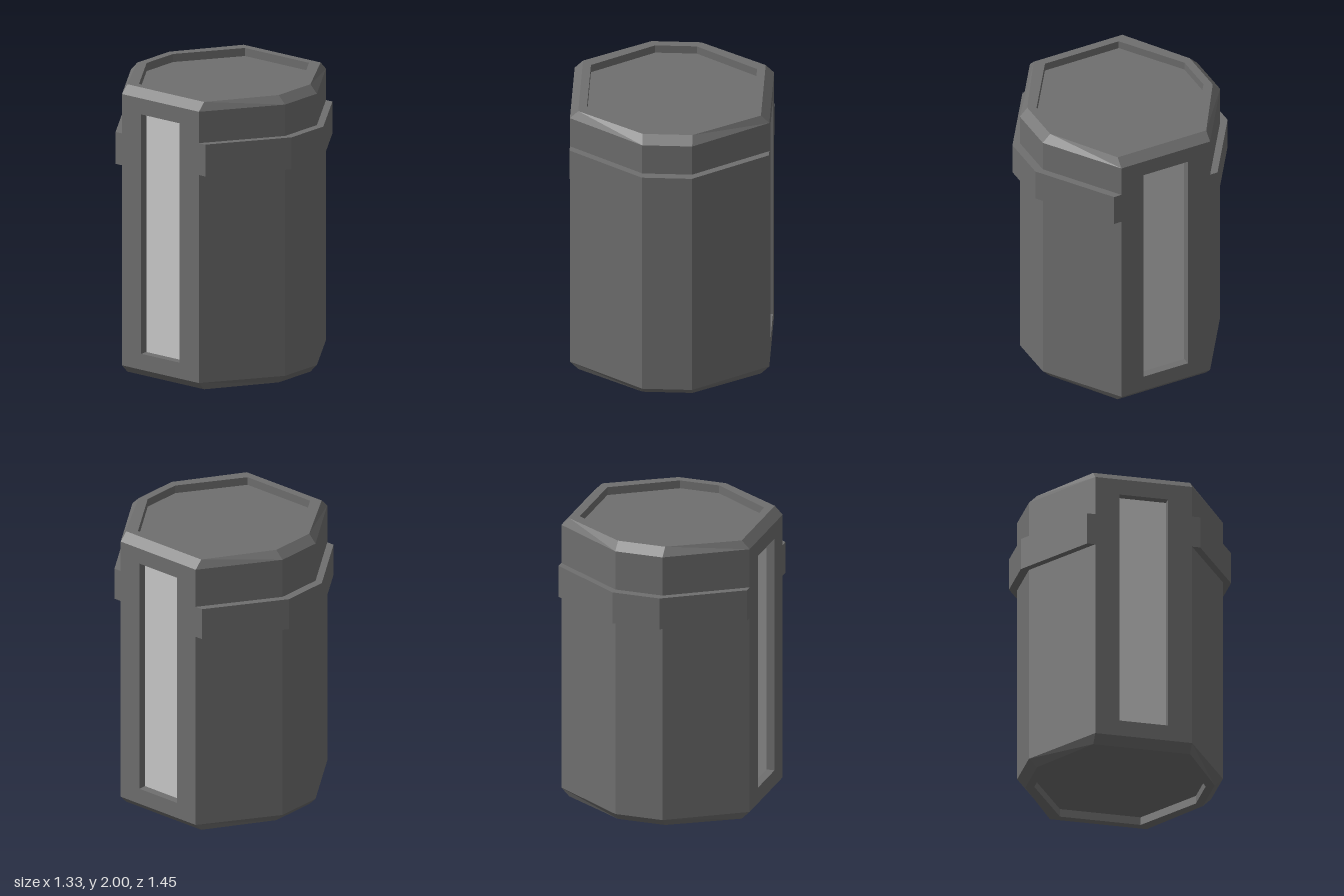
import * as THREE from 'three';

const BEVEL = 0.056;
const BOTTOM = BEVEL, TOP = 2 - BEVEL;

// Octagon corners [x, z], running from +x towards +z
const OUTER = [
  [0.667, -0.333], [0.667, 0.333], [0.167, 0.667], [-0.167, 0.667],
  [-0.667, 0.333], [-0.667, -0.333], [-0.167, -0.667], [0.167, -0.667],
];
const scaled = (s) => OUTER.map(([x, z]) => [x * s, z * s]);
const pull = (v) => (Math.abs(v) > 0.6 ? v - Math.sign(v) * BEVEL : v);
const RIM = OUTER.map(([x, z]) => [pull(x), pull(z)]);
const INNER = scaled(0.833);
const CENTRE = scaled(0);

const grey = (color) => new THREE.MeshStandardMaterial({ color, flatShading: true });

function addMesh(parent, name, geometry, material) {
  const mesh = new THREE.Mesh(geometry, material);
  mesh.name = name;
  parent.add(mesh);
  return mesh;
}

// Skin over stacked octagon rings; skip(ring, side) leaves a face open
function loft(rings, skip) {
  const pos = [];
  for (let r = 0; r < rings.length - 1; r++) {
    const [lo, y0] = rings[r], [hi, y1] = rings[r + 1];
    for (let i = 0; i < 8; i++) {
      if (skip(r, i)) continue;
      const j = (i + 1) % 8;
      const a = [lo[i][0], y0, lo[i][1]], b = [lo[j][0], y0, lo[j][1]];
      const c = [hi[j][0], y1, hi[j][1]], d = [hi[i][0], y1, hi[i][1]];
      if (hi !== CENTRE) pos.push(...a, ...d, ...c);
      if (lo !== CENTRE) pos.push(...a, ...c, ...b);
    }
  }
  const g = new THREE.BufferGeometry();
  g.setAttribute('position', new THREE.Float32BufferAttribute(pos, 3));
  g.computeVertexNormals();
  return g;
}

function polygon(points, Type = THREE.Shape) {
  return new Type(points.map(([x, y]) => new THREE.Vector2(x, y)));
}
const rect = (x, y0, y1) => [[-x, y0], [x, y0], [x, y1], [-x, y1]];

export function createModel() {
  const model = new THREE.Group();
  model.name = 'canister';
  const dark = grey(0x6f6f6f);
  const light = grey(0xcccccc);

  // Bevelled body with recessed top and bottom, open where the side panels sit
  addMesh(model, 'body', loft([
    [CENTRE, BEVEL], [INNER, BEVEL], [INNER, 0], [RIM, 0], [OUTER, BOTTOM],
    [OUTER, TOP], [RIM, 2], [INNER, 2], [INNER, TOP], [CENTRE, TOP],
  ], (r, i) => r === 4 && i % 4 === 0), dark);

  // Side panels: a frame around a sunken light strip
  for (const [name, turn] of [['leftSide', 0], ['rightSide', Math.PI]]) {
    const side = new THREE.Group();
    side.name = name;
    side.rotation.y = turn;
    const frame = polygon(rect(0.333, BOTTOM, TOP));
    frame.holes.push(polygon(rect(0.167, 0.167, 1.833), THREE.Path));
    const frameGeo = new THREE.ExtrudeGeometry(frame, { depth: BEVEL, bevelEnabled: false });
    frameGeo.rotateY(Math.PI / 2).translate(0.667 - BEVEL, 0, 0);
    addMesh(side, 'sidePanel', frameGeo, dark);

    const strip = new THREE.PlaneGeometry(0.334, 1.666);
    strip.rotateY(Math.PI / 2).translate(0.667 - BEVEL, 1, 0);
    addMesh(side, 'lightStrip', strip, light);
    model.add(side);
  }

  // Raised half bands, the back one set slightly lower
  const inside = OUTER.slice(1, 5);
  const outside = inside.map(([x, z]) => [x, z + BEVEL]).reverse();
  for (const [name, y, turn] of [['frontBand', 1.504, Math.PI], ['backBand', 1.448, 0]]) {
    const geo = new THREE.ExtrudeGeometry(polygon([...inside, ...outside]),
      { depth: 0.222, bevelEnabled: false });
    geo.rotateX(-Math.PI / 2);
    const band = addMesh(model, name, geo, dark);
    band.position.y = y;
    band.rotation.y = turn;
  }
  return model;
}
